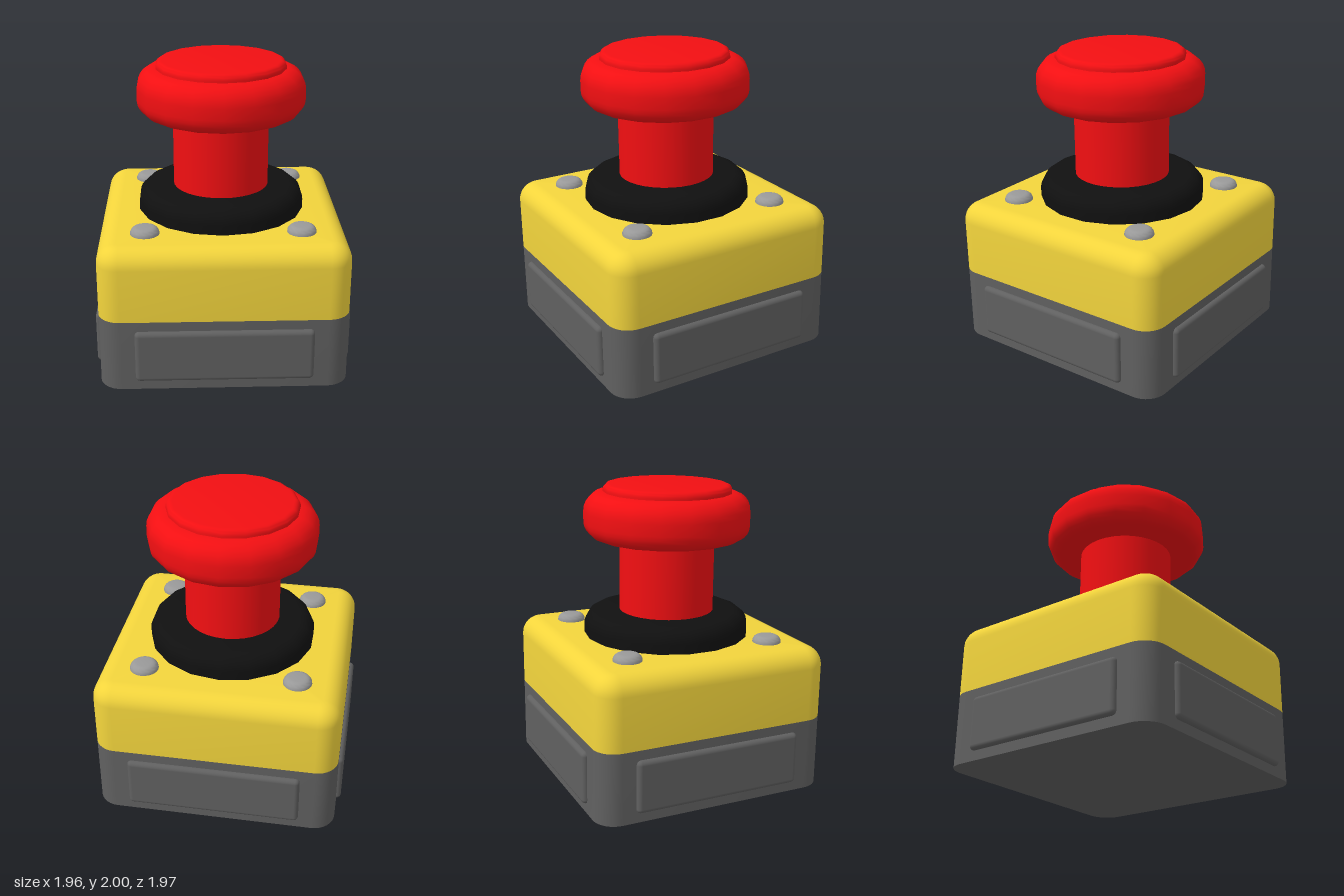
import * as THREE from 'three';
import { toCreasedNormals } from 'three/addons/utils/BufferGeometryUtils.js';
import { RoundedBoxGeometry } from 'three/addons/geometries/RoundedBoxGeometry.js';

const paint = (color) => new THREE.MeshStandardMaterial({ color });

// Solid with a rounded-square plan, lofted through [inset, height] rings and capped at both ends
function roundedSquareLoft(half, radius, rings) {
  const steps = 8, pos = [], index = [], n = 4 * (steps + 1);
  for (const [inset, y] of rings) {
    const r = radius - inset, c = half - radius;
    for (let q = 0; q < 4; q++) {
      const cx = q === 0 || q === 3 ? c : -c, cz = q < 2 ? c : -c;
      for (let i = 0; i <= steps; i++) {
        const a = (q + i / steps) * Math.PI / 2;
        pos.push(cx + r * Math.cos(a), y, cz + r * Math.sin(a));
      }
    }
  }
  for (let k = 0; k < rings.length - 1; k++) {
    for (let i = 0; i < n; i++) {
      const a = k * n + i, b = k * n + (i + 1) % n;
      index.push(a, a + n, b, b, a + n, b + n);
    }
  }
  const last = rings.length - 1, low = pos.length / 3;
  pos.push(0, rings[0][1], 0, 0, rings[last][1], 0);
  for (let i = 0; i < n; i++) {
    const j = (i + 1) % n;
    index.push(low, i, j, low + 1, last * n + j, last * n + i);
  }
  const g = new THREE.BufferGeometry();
  g.setAttribute('position', new THREE.Float32BufferAttribute(pos, 3));
  g.setIndex(index);
  return toCreasedNormals(g, 0.7);
}

// Turned disc from y0 to y1 with its rim rounded at the top and, if wanted, the bottom
function roundedDisc(radius, y0, y1, topR, bottomR, sides) {
  const pts = [new THREE.Vector2(0, y0)];
  const arc = (rad, cy, from) => {
    for (let i = 0; i <= 6; i++) {
      const a = from + (i / 6) * Math.PI / 2;
      pts.push(new THREE.Vector2(radius - rad + rad * Math.cos(a), cy + rad * Math.sin(a)));
    }
  };
  if (bottomR) arc(bottomR, y0 + bottomR, -Math.PI / 2);
  else pts.push(new THREE.Vector2(radius, y0));
  arc(topR, y1 - topR, 0);
  pts.push(new THREE.Vector2(0, y1));
  return toCreasedNormals(new THREE.LatheGeometry(pts, sides), 0.7);
}

export function createModel() {
  const model = new THREE.Group();
  model.name = 'emergencyStopButton';
  const tilt = new THREE.Group();
  tilt.name = 'tiltedAssembly';
  const body = new THREE.Group();
  body.name = 'buttonBox';
  model.add(tilt);
  tilt.add(body);

  const grey = paint(0x606060), yellow = paint(0xf2d43c), red = paint(0xf20f12);
  const black = paint(0x101010), steel = paint(0x999999);
  const add = (name, geometry, material) => {
    const mesh = new THREE.Mesh(geometry, material);
    mesh.name = name;
    body.add(mesh);
    return mesh;
  };

  // Housing: grey base and yellow lid with a rounded upper edge
  const half = 0.81, corner = 0.145, seam = 0.485, top = 0.967, bevel = 0.125;
  add('base', roundedSquareLoft(half, corner, [[0, 0], [0, seam]]), grey);
  const lidRings = [[0, seam]];
  for (let i = 0; i <= 8; i++) {
    const a = (i / 8) * Math.PI / 2;
    lidRings.push([bevel * (1 - Math.cos(a)), top - bevel + bevel * Math.sin(a)]);
  }
  add('lid', roundedSquareLoft(half, corner, lidRings), yellow);

  // Raised panel on each side of the base
  const panelGeometry = new RoundedBoxGeometry(1.15, 0.355, 0.12, 4, 0.03);
  for (let i = 0; i < 4; i++) {
    const a = i * Math.PI / 2;
    const panel = add('sidePanel', panelGeometry, grey);
    panel.position.set(0.78 * Math.sin(a), 0.243, 0.78 * Math.cos(a));
    panel.rotation.y = a;
  }

  // Lid screws
  const screwGeometry = roundedDisc(0.095, 0.94, 1.013, 0.045, 0, 24);
  for (const x of [-0.505, 0.505]) {
    for (const z of [-0.505, 0.505]) add('screw', screwGeometry, steel).position.set(x, 0, z);
  }

  // Collar, stem and mushroom head
  add('collar', roundedDisc(0.56, 0.95, 1.128, 0.1, 0, 18), black);
  const stem = add('stem', new THREE.CylinderGeometry(0.32, 0.32, 0.65, 32), red);
  stem.position.y = 1.4;
  add('head', roundedDisc(0.56, 1.617, 1.93, 0.13, 0.11, 18), red);
  add('headTop', roundedDisc(0.432, 1.88, 1.98, 0.04, 0, 18), red);

  // The box is turned about the vertical and leans very slightly forward
  body.rotation.y = -0.307;
  tilt.rotation.set(0.015, 0, 0.004);
  tilt.position.y = 0.015;
  return model;
}
